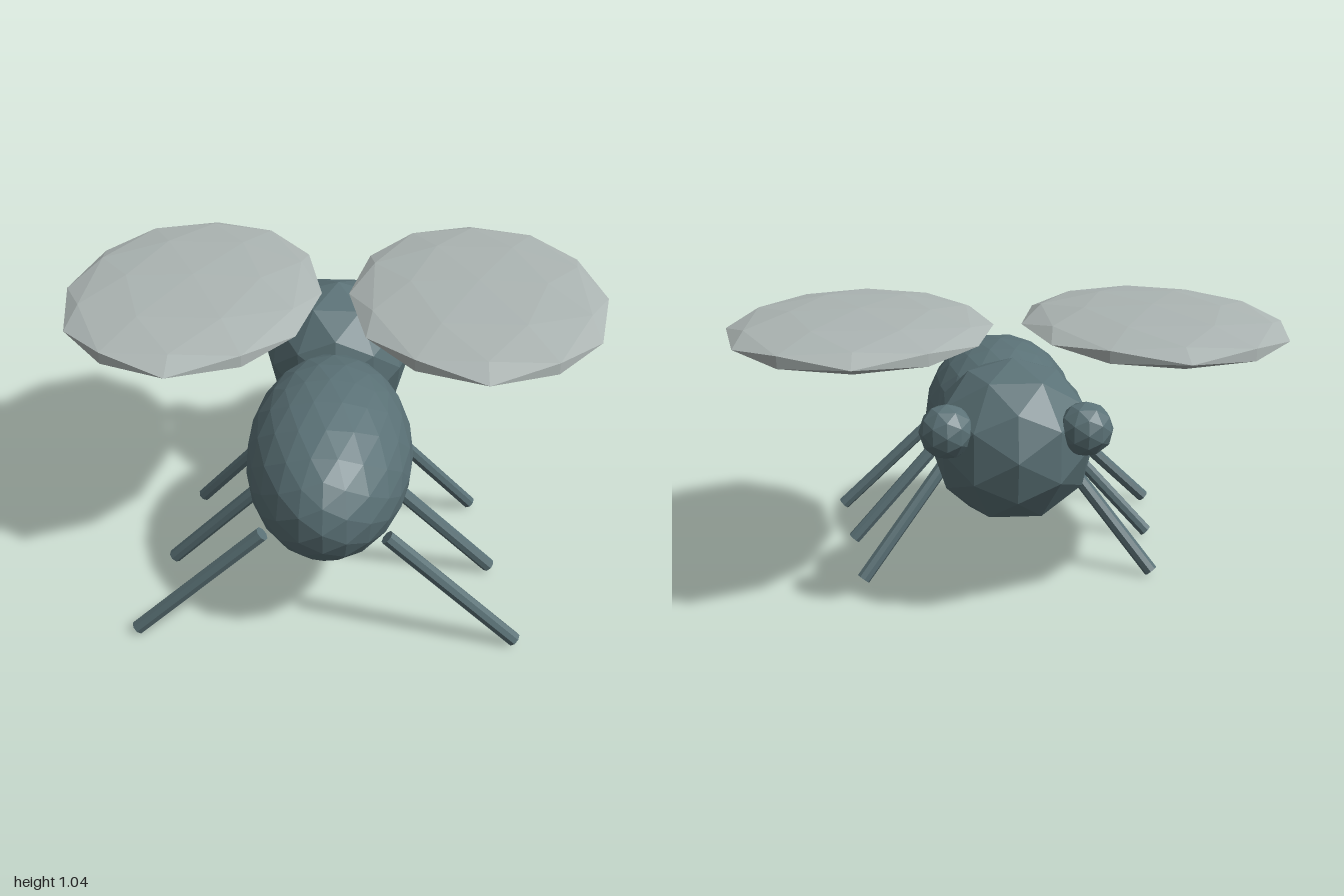
import * as THREE from 'three';

export function createModel() {
  const root = new THREE.Group();
  root.name = 'insect';

  const bodyColor = new THREE.MeshStandardMaterial({ color: 0x5a7176, flatShading: true });
  bodyColor.name = 'slate body';
  const wingColor = new THREE.MeshStandardMaterial({ color: 0xacb5b3, flatShading: true });
  wingColor.name = 'pale wing';

  // Faceted ellipsoid with the given radii and centre
  function blob(name, detail, radii, centre, material) {
    const geometry = new THREE.IcosahedronGeometry(1, detail);
    geometry.scale(...radii);
    const mesh = new THREE.Mesh(geometry, material);
    mesh.name = name;
    mesh.position.set(...centre);
    root.add(mesh);
  }

  // Straight leg between two points
  function leg(name, from, to) {
    const a = new THREE.Vector3(...from);
    const b = new THREE.Vector3(...to);
    const dir = b.clone().sub(a);
    const mesh = new THREE.Mesh(new THREE.CylinderGeometry(0.026, 0.026, dir.length(), 8), bodyColor);
    mesh.name = name;
    mesh.position.copy(a).add(b).multiplyScalar(0.5);
    mesh.quaternion.setFromUnitVectors(new THREE.Vector3(0, 1, 0), dir.normalize());
    root.add(mesh);
  }

  // Abdomen and head
  blob('abdomen', 3, [0.298, 0.3, 0.503], [0, 0.537, 0.284], bodyColor);
  blob('head', 1, [0.29, 0.29, 0.29], [0, 0.62, -0.364], bodyColor);

  for (const [side, s] of [['left', 1], ['right', -1]]) {
    // Eye and wing
    blob(side + 'Eye', 1, [0.094, 0.094, 0.094], [s * 0.232, 0.703, -0.537], bodyColor);
    blob(side + 'Wing', 1, [0.475, 0.067, 0.673], [s * 0.525, 0.976, -0.118], wingColor);

    // Three splayed legs
    leg(side + 'FrontLeg', [s * 0.21, 0.45, 0.665], [s * 0.665, 0.022, 0.665]);
    leg(side + 'MiddleLeg', [s * 0.205, 0.45, 0.325], [s * 0.6, 0.022, 0.247]);
    leg(side + 'BackLeg', [s * 0.205, 0.455, -0.008], [s * 0.545, 0.022, -0.17]);
  }
  return root;
}
